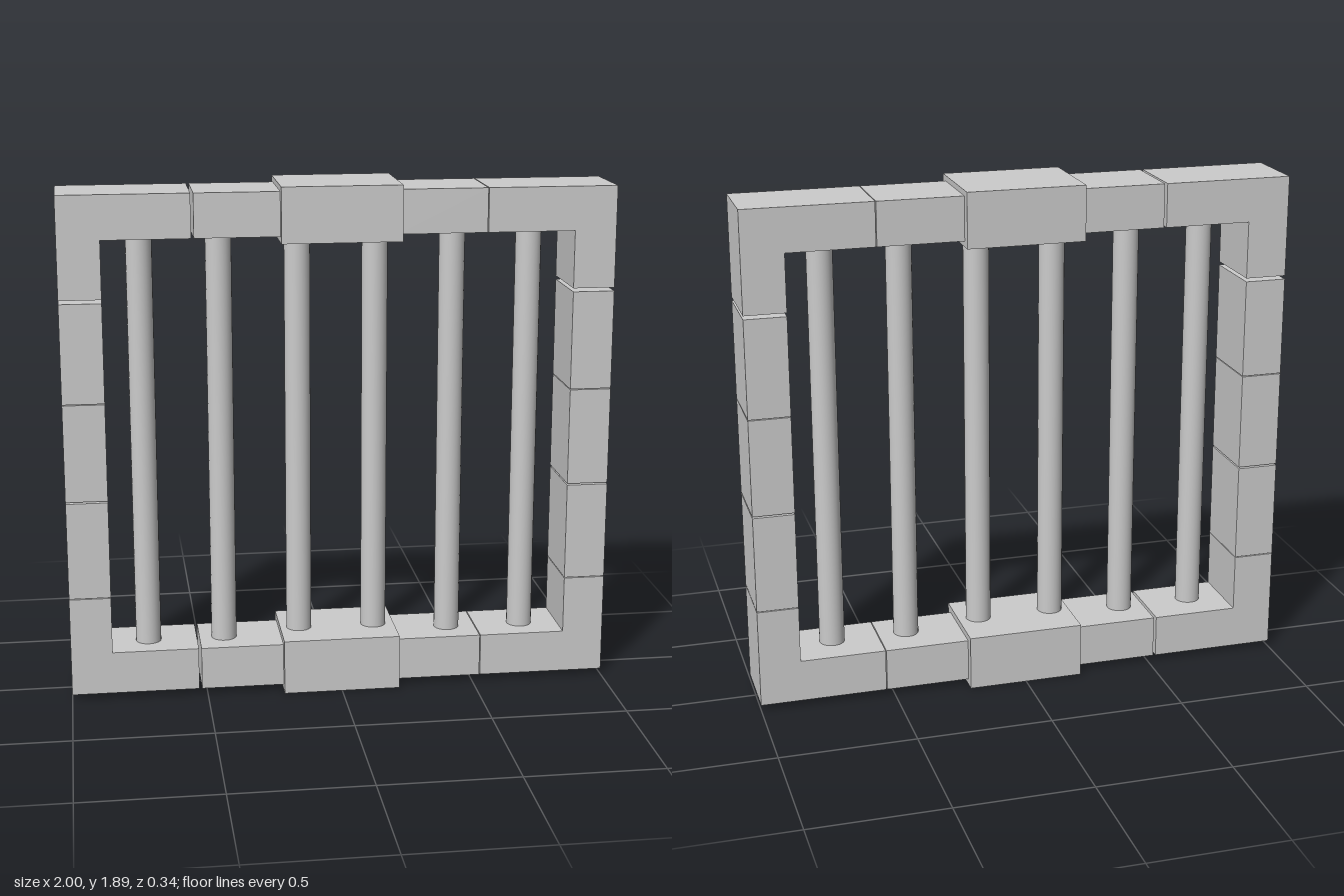
import * as THREE from 'three';

const material = new THREE.MeshStandardMaterial({ color: 0xcccccc });
const DEPTH = 0.266;          // thickness of the stone frame
const BOTTOM = 0.022, TOP = 1.868;

function add(group, name, geometry) {
  const mesh = new THREE.Mesh(geometry, material);
  mesh.name = name;
  group.add(mesh);
  return mesh;
}

// Box given by its x and y limits, centred on z = 0
function block(group, name, x0, x1, y0, y1, depth = DEPTH) {
  add(group, name, new THREE.BoxGeometry(x1 - x0, y1 - y0, depth))
    .position.set((x0 + x1) / 2, (y0 + y1) / 2, 0);
}

// L-shaped stone: outer corner at (sx, y), arms running inwards
function corner(group, name, sx, y, sy, length, height, thickness) {
  const points = [[0, 0], [length, 0], [length, thickness], [0.152, thickness], [0.152, height], [0, height]]
    .map(([a, b]) => new THREE.Vector2(sx * (1 - a), y + sy * b));
  const geometry = new THREE.ExtrudeGeometry(new THREE.Shape(points), { depth: DEPTH, bevelEnabled: false });
  add(group, name, geometry.translate(0, 0, -DEPTH / 2));
}

export function createModel() {
  const model = new THREE.Group();
  model.name = 'barredWindow';

  for (const [side, s] of [['left', 1], ['right', -1]]) {
    const gap = s > 0 ? 0.003 : 0.01;

    // Corner stones
    corner(model, side + 'LowerCorner', s, BOTTOM, 1, 0.469, 0.37, 0.158);
    corner(model, side + 'UpperCorner', s, TOP, -1, 0.469, 0.37, 0.16);

    // Stones up the side
    [[0.395, 0.756], [0.762, 1.12], [1.123, 1.485]].forEach(([y0, y1], i) =>
      block(model, `${side}SideStone${i + 1}`, s > 0 ? 0.848 : -1, s > 0 ? 1 : -0.848, y0, y1));

    // Stones between the corners and the middle blocks
    const inner = 0.2, outer = 0.531 - gap;
    const x0 = s > 0 ? inner : -outer, x1 = s > 0 ? outer : -inner;
    block(model, side + 'SillStone', x0, x1, BOTTOM, 0.18);
    block(model, side + 'LintelStone', x0, x1, 1.708, TOP);
  }

  // Larger middle blocks
  block(model, 'sillKeystone', -0.216, 0.216, 0, 0.204, 0.338);
  block(model, 'lintelKeystone', -0.216, 0.216, 1.687, 1.888, 0.338);

  // Round bars, let into the stones at both ends
  for (let i = 0; i < 6; i++) {
    add(model, `bar${i + 1}`, new THREE.CylinderGeometry(0.047, 0.047, 1.58, 24))
      .position.set(-0.711 + i * 0.283, 0.944, 0.012);
  }

  return model;
}
